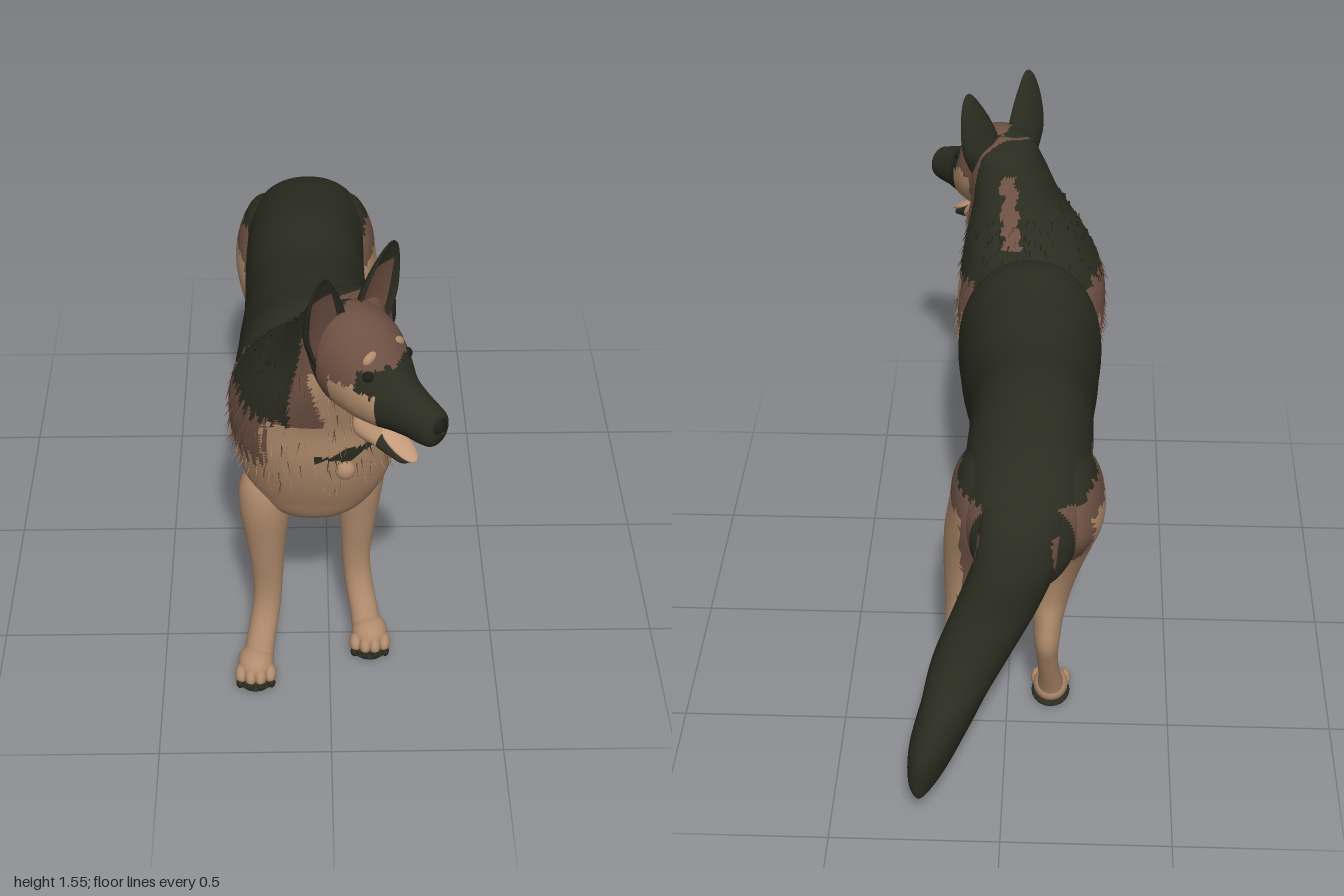
import * as THREE from 'three';
import { mergeGeometries } from 'three/addons/utils/BufferGeometryUtils.js';

const mat = (name, color) => Object.assign(new THREE.MeshStandardMaterial({ color }), { name });
const darkFur = mat('dark fur', 0x2b2c20);
const brownFur = mat('brown fur', 0x6d5043);
const tanFur = mat('tan fur', 0xb18c6d);
const noseBlack = mat('nose black', 0x1d1e18);
const tonguePink = mat('tongue', 0xc49a7c);
const COAT = [darkFur, brownFur, tanFur];
const DARK = 0, BROWN = 1, TAN = 2;

let seed = 7;
const rand = () => (seed = (seed * 16807) % 2147483647) / 2147483647;
const clamp = THREE.MathUtils.clamp;
const ragged = (x, y, z) => Math.sin(x * 71 + z * 63) * Math.sin(z * 97 - y * 13 + x * 29);

// Smooth value of a table of rows at t in 0..1
function sampleRows(rows, t) {
  const f = t * (rows.length - 1), i = Math.min(Math.floor(f), rows.length - 2), u = f - i;
  const at = (k) => rows[clamp(k, 0, rows.length - 1)];
  return rows[0].map((_, c) => {
    const [a, b, d, e] = [at(i - 1)[c], at(i)[c], at(i + 1)[c], at(i + 2)[c]];
    return b + 0.5 * u * (d - a + u * (2 * a - 5 * b + 4 * d - e + u * (3 * (b - d) + e - a)));
  });
}

// Closed skin over oval rings. Axis y rows: [y, cx, cz, rx, rz]; axis z rows: [z, cx, cy, rx, ry].
// rule(x, y, z, angle) picks the coat colour of each face.
function loft(name, axis, rows, rule, { steps = 50, sides = 40, power = 2, shear = 0, cup = false } = {}) {
  const pos = [], idx = [[], [], []];
  const round = (v) => Math.sign(v) * Math.abs(v) ** (2 / power);
  for (let i = 0; i <= steps; i++) {
    const [t, cx, c2, rx, r2] = sampleRows(rows, i / steps);
    for (let j = 0; j < sides; j++) {
      const a = (j / sides) * Math.PI * 2, s = Math.sin(a);
      const q = Math.max(r2, 0.002) * round(s) * (cup && s > 0 ? -0.35 : 1);
      const x = cx + Math.max(rx, 0.002) * round(Math.cos(a)) + shear * q;
      pos.push(...(axis === 'y' ? [x, t, c2 + q] : [x, c2 + q, t]));
    }
  }
  const v = (k) => new THREE.Vector3().fromArray(pos, k * 3);
  const tris = [];
  let volume = 0;
  for (let i = 0; i < steps; i++) for (let j = 0; j < sides; j++) {
    const a = i * sides + j, b = i * sides + ((j + 1) % sides), c = a + sides, d = b + sides;
    const angle = ((j + 0.5) / sides) * Math.PI * 2;
    for (const t of [[a, c, b], [b, c, d]]) {
      const [p, q, r] = t.map(v);
      volume += p.dot(q.clone().cross(r));
      const m = p.add(q).add(r).divideScalar(3);
      tris.push([t, rule(m.x, m.y, m.z, angle)]);
    }
  }
  for (const [t, k] of tris) idx[k].push(...(volume < 0 ? t.reverse() : t));
  const g = new THREE.BufferGeometry();
  g.setAttribute('position', new THREE.Float32BufferAttribute(pos, 3));
  g.setIndex(idx.flat());
  let start = 0;
  idx.forEach((list, k) => { if (list.length) g.addGroup(start, list.length, k); start += list.length; });
  g.computeVertexNormals();
  const mesh = new THREE.Mesh(g, COAT);
  mesh.name = name;
  return mesh;
}

function ball(name, material, p, r) {
  const m = new THREE.Mesh(new THREE.SphereGeometry(1, 20, 14), material);
  m.name = name;
  m.position.set(...p);
  m.scale.set(...r);
  return m;
}

// Dark saddle and nape, brown border, tan underside, throat and chest
function coat(x, y, z) {
  const n = ragged(x, y, z);
  if (z > 0.37 + n * 0.015) {
    const collar = z > 0.6 && x > -0.04 && Math.abs(y - 0.9 - (0.8 - z) * 0.5) < 0.014 + n * 0.011;
    const toFace = z + 0.75 * x + n * 0.015;
    const napeStreak = y > 1.14 && y < 1.32 && z < 0.62 && Math.abs(x - 0.02) < 0.022 + n * 0.02;
    if (napeStreak) return BROWN;
    if (collar || (y > 1.02 + n * 0.03 && toFace < 0.72)) return DARK;
    if (z < 0.395 || (y > 0.88 + n * 0.06 && toFace < 0.62 + n * 0.04)) return BROWN;
    return y > 1.23 || (y > 1.03 && toFace < 0.78) ? BROWN : TAN;
  }
  const hip = clamp((-0.08 - z) / 0.22, 0, 1);
  const edge = 0.725 + 0.205 * hip + n * 0.014;
  if (y > edge || (z < -0.63 && y > 0.55)) return DARK;
  return y > edge - 0.036 - 0.034 * hip || (z < -0.58 + n * 0.01 && y > 0.55) ? BROWN : TAN;
}
const allTan = () => TAN;

function paw(x, z) {
  const g = new THREE.Group();
  g.name = 'paw';
  g.add(ball('pawPad', darkFur, [x, 0.018, z], [0.06, 0.018, 0.075]));
  g.add(ball('pawTop', tanFur, [x, 0.057, z - 0.012], [0.054, 0.046, 0.064]));
  for (let i = 0; i < 4; i++) {
    const s = i - 1.5, tz = z + 0.045 - Math.abs(s) * 0.012;
    g.add(ball('toe', tanFur, [x + s * 0.029, 0.046, tz], [0.019, 0.027, 0.032]));
    g.add(ball('claw', darkFur, [x + s * 0.031, 0.028, tz + 0.022], [0.012, 0.017, 0.015]));
  }
  return g;
}

function frontLeg(name, side, dz) {
  const g = new THREE.Group();
  g.name = name;
  const rows = [[0.78, 0.11, 0.46, 0.01, 0.01], [0.75, 0.115, 0.46, 0.045, 0.045], [0.69, 0.13, 0.465, 0.074, 0.07],
    [0.6, 0.137, 0.466, 0.075, 0.075], [0.45, 0.136, 0.465, 0.056, 0.053], [0.3, 0.133, 0.46, 0.043, 0.037],
    [0.2, 0.14, 0.466, 0.042, 0.04], [0.1, 0.158, 0.508, 0.043, 0.044], [0.04, 0.167, 0.54, 0.045, 0.05]];
  g.add(loft('foreleg', 'y', rows.map(([y, x, z, a, b]) => [y, -0.05 + side * x, z + dz, a, b]), allTan));
  g.add(paw(-0.05 + side * 0.173, 0.565 + dz));
  g.add(ball('wristPad', darkFur, [-0.05 + side * 0.14, 0.215, 0.432 + dz], [0.018, 0.024, 0.016]));
  return g;
}

function hindLeg(name, x0, lean, bow, dz) {
  const g = new THREE.Group();
  g.name = name;
  const rows = [[0.99, -0.45, 0.01, 0.02], [0.96, -0.45, 0.05, 0.1], [0.89, -0.43, 0.085, 0.175], [0.8, -0.42, 0.098, 0.205],
    [0.7, -0.41, 0.1, 0.19], [0.6, -0.42, 0.088, 0.168], [0.5, -0.472, 0.066, 0.125], [0.42, -0.545, 0.048, 0.084],
    [0.34, -0.603, 0.038, 0.053], [0.25, -0.605, 0.032, 0.039], [0.15, -0.583, 0.034, 0.042], [0.08, -0.56, 0.04, 0.048],
    [0.04, -0.55, 0.042, 0.05]];
  const drop = (y) => clamp((0.8 - y) / 0.7, 0, 1);
  const shift = (y) => lean * drop(y) + bow * Math.sin(Math.PI * drop(y));
  g.add(loft('thighAndHock', 'y', rows.map(([y, z, a, b]) => [y, x0 + shift(y), z + dz * drop(y), a, b]),
    coat, { steps: 80 }));
  g.add(paw(x0 + lean, -0.53 + dz));
  return g;
}

// Head faces local +z
function buildHead() {
  const g = new THREE.Group();
  g.name = 'head';
  g.add(loft('skullAndMuzzle', 'z', [[-0.155, 0, 1.27, 0.004, 0.004], [-0.12, 0, 1.265, 0.09, 0.1], [-0.04, 0, 1.26, 0.123, 0.145],
    [0.04, 0, 1.243, 0.12, 0.147], [0.1, 0, 1.215, 0.098, 0.122], [0.15, 0, 1.187, 0.073, 0.087], [0.2, 0, 1.175, 0.06, 0.07],
    [0.25, 0, 1.165, 0.052, 0.06], [0.28, 0, 1.162, 0.042, 0.047], [0.297, 0, 1.162, 0.003, 0.003]], (x, y, z) => {
    const n = ragged(x, y, z) * 0.012;
    if (z > 0.125 + n || z < -0.05 + n) return DARK;
    if (z > 0.088 + n && y > 1.235 && y < 1.295 && Math.abs(x) > 0.04) return DARK;
    return y > 1.255 + n || z < 0.0 + n ? BROWN : TAN;
  }, { steps: 90, sides: 56 }));
  g.add(loft('lowerJaw', 'z', [[0.0, 0, 1.1, 0.01, 0.01], [0.04, 0, 1.08, 0.065, 0.045], [0.1, 0, 1.055, 0.053, 0.032],
    [0.15, 0, 1.032, 0.04, 0.02], [0.18, 0, 1.018, 0.028, 0.014], [0.193, 0, 1.012, 0.002, 0.002]],
  (x, y, z) => (z > 0.11 ? DARK : TAN)));
  const tongue = ball('tongue', tonguePink, [0, 1.053, 0.145], [0.034, 0.012, 0.075]);
  tongue.rotation.x = 0.5;
  g.add(tongue, ball('nose', noseBlack, [0, 1.175, 0.275], [0.032, 0.028, 0.024]));
  for (const s of [-1, 1]) {
    g.add(ball('eye', noseBlack, [s * 0.073, 1.28, 0.1], [0.017, 0.016, 0.016]));
    const brow = ball('brow', tanFur, [s * 0.05, 1.32, 0.085], [0.028, 0.016, 0.014]);
    brow.rotation.z = s * -0.4;
    g.add(brow);
    const ear = [[1.27, 0.08, -0.03, 0.05, 0.045], [1.36, 0.095, -0.025, 0.074, 0.05], [1.45, 0.112, -0.018, 0.06, 0.036],
      [1.52, 0.125, -0.01, 0.033, 0.019], [1.548, 0.128, -0.006, 0.014, 0.008], [1.555, 0.128, -0.005, 0.002, 0.002]];
    g.add(loft('ear', 'y', ear.map(([y, x, z, a, b]) => [y, s * x, z, a, b]),
      (x, y, z, a) => (y < 1.485 && a > 0.75 && a < Math.PI - 0.75 ? BROWN : DARK), { cup: true }));
  }
  g.position.set(0.075, 0, 0.785);
  g.rotation.y = Math.PI / 4;
  return g;
}

// Loose pointed tufts standing off the ruff, grouped by colour
function buildTufts(mane) {
  const { position, normal } = mane.geometry.attributes;
  const sets = [[], [], []], up = new THREE.Vector3(0, 1, 0);
  while (sets.flat().length < 420) {
    const i = Math.floor(rand() * position.count);
    const p = new THREE.Vector3().fromBufferAttribute(position, i);
    if (p.y < 0.78 || p.y > 1.2 || p.z < 0.4) continue;
    const d = new THREE.Vector3().fromBufferAttribute(normal, i).multiplyScalar(0.4);
    d.add(new THREE.Vector3(rand() - 0.5, -1.8, rand() - 0.5).multiplyScalar(0.5)).normalize();
    const cone = new THREE.ConeGeometry(0.003, 0.045 + rand() * 0.02, 4);
    cone.applyQuaternion(new THREE.Quaternion().setFromUnitVectors(up, d));
    cone.translate(p.x + d.x * 0.01, p.y + d.y * 0.01, p.z + d.z * 0.01);
    const k = coat(p.x, p.y, p.z);
    sets[k === TAN && rand() < 0.35 ? BROWN : k].push(cone);
  }
  const g = new THREE.Group();
  g.name = 'ruffTufts';
  sets.forEach((list, k) => list.length && g.add(new THREE.Mesh(mergeGeometries(list), COAT[k])));
  g.children.forEach((m) => { m.name = 'tufts'; });
  return g;
}

export function createModel() {
  const dog = new THREE.Group();
  dog.name = 'dog';
  // Trunk from shoulder to rump
  dog.add(loft('trunk', 'z', [[0.56, -0.045, 0.86, 0.05, 0.08], [0.4, -0.045, 0.84, 0.215, 0.287], [0.2, -0.05, 0.825, 0.217, 0.293],
    [0, -0.06, 0.833, 0.192, 0.262], [-0.2, -0.065, 0.882, 0.185, 0.22], [-0.4, -0.06, 0.88, 0.185, 0.188],
    [-0.55, -0.055, 0.85, 0.175, 0.17], [-0.65, -0.05, 0.81, 0.138, 0.14], [-0.7, -0.05, 0.79, 0.08, 0.09],
    [-0.725, -0.05, 0.78, 0.002, 0.002]], coat, { steps: 110, sides: 80, power: 2.15 }));
  // Chest, ruff and neck
  const mane = loft('chestAndNeck', 'y', [[0.53, -0.045, 0.48, 0.002, 0.002], [0.55, -0.045, 0.485, 0.07, 0.09],
    [0.61, -0.045, 0.505, 0.155, 0.168], [0.7, -0.04, 0.51, 0.208, 0.212], [0.8, -0.04, 0.51, 0.232, 0.25],
    [0.9, -0.045, 0.525, 0.24, 0.258], [1.0, -0.045, 0.55, 0.23, 0.245], [1.1, -0.025, 0.6, 0.193, 0.22],
    [1.2, 0.01, 0.67, 0.145, 0.172], [1.3, 0.035, 0.705, 0.118, 0.137], [1.37, 0.045, 0.71, 0.085, 0.095],
    [1.395, 0.05, 0.71, 0.002, 0.002]], coat, { steps: 110, sides: 96, power: 2.25 });
  dog.add(mane, buildTufts(mane));
  dog.add(ball('collarTag', tanFur, [0.04, 0.862, 0.77], [0.028, 0.03, 0.022]));
  dog.add(buildHead());
  dog.add(frontLeg('leftFrontLeg', 1, 0), frontLeg('rightFrontLeg', -1, 0.13));
  dog.add(hindLeg('leftHindLeg', 0.07, 0.13, -0.01, 0), hindLeg('rightHindLeg', -0.19, 0.055, 0.035, 0.16));
  // Bushy tail swept to the left
  dog.add(loft('tail', 'y', [[0.98, -0.06, -0.55, 0.004, 0.004], [0.93, -0.06, -0.6, 0.11, 0.09], [0.8, -0.04, -0.665, 0.12, 0.1],
    [0.65, 0.015, -0.695, 0.12, 0.105], [0.5, 0.085, -0.735, 0.11, 0.135], [0.4, 0.13, -0.79, 0.09, 0.155],
    [0.3, 0.173, -0.845, 0.076, 0.15], [0.2, 0.208, -0.9, 0.05, 0.092], [0.15, 0.225, -0.945, 0.018, 0.035],
    [0.14, 0.23, -0.95, 0.002, 0.002]], (x, y, z) => {
    const line = -0.62 - Math.max(0, 0.55 - y) * 0.45 + ragged(x, y, z) * 0.015;
    if (y < 0.56 && z > line) return TAN;
    return y < 0.88 && z > line - (y < 0.5 ? 0.1 : 0.075) ? BROWN : DARK;
  }, { steps: 80, sides: 48, shear: -0.3 }));
  return dog;
}
